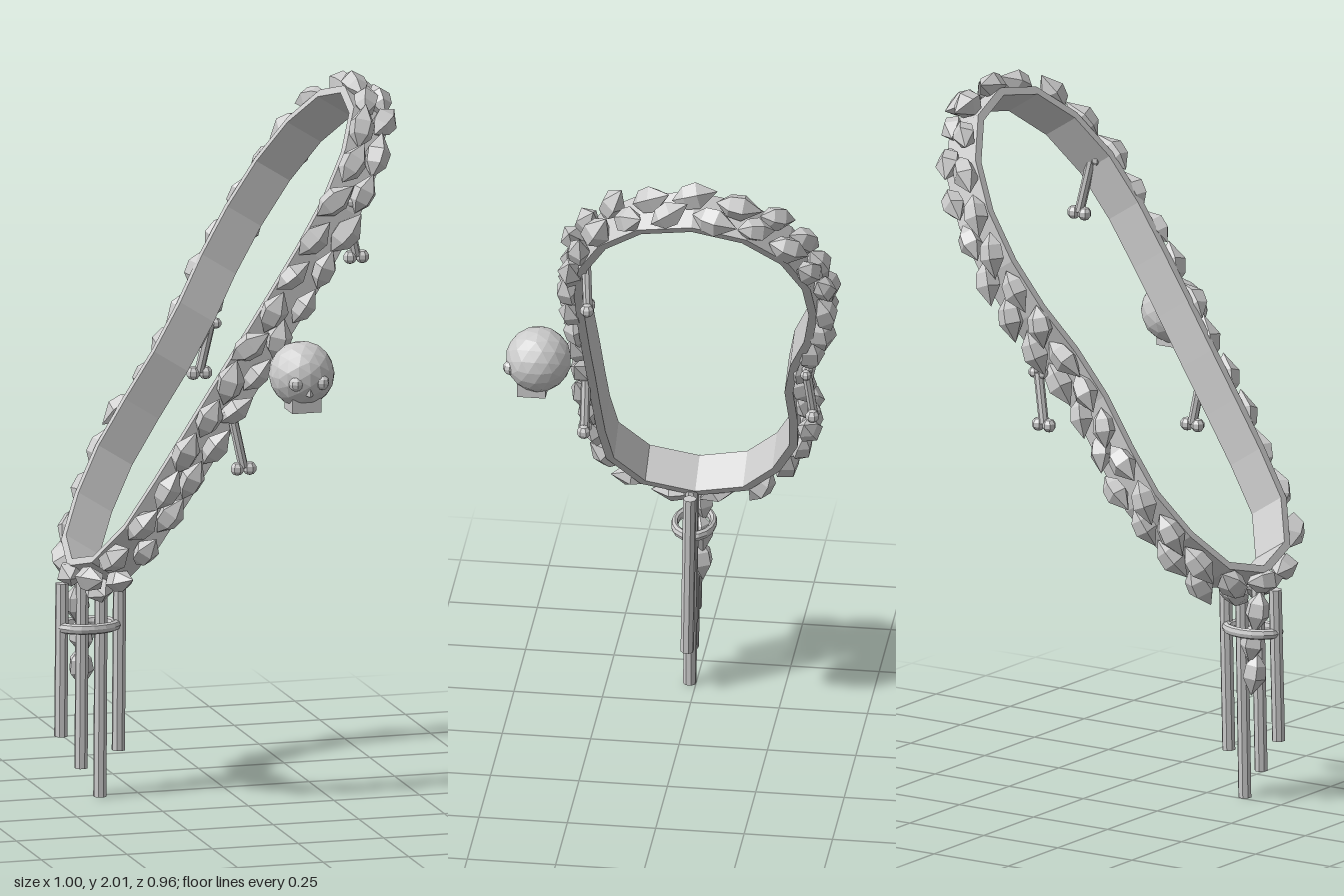
import * as THREE from 'three';

const V = (x, y, z) => new THREE.Vector3(x, y, z);
const grey = new THREE.MeshStandardMaterial({ color: 0xcccccc });
grey.name = 'light stone grey';
grey.flatShading = true;

function add(parent, geometry, name, pos) {
  const m = new THREE.Mesh(geometry, grey);
  m.name = name;
  if (pos) m.position.copy(pos);
  parent.add(m);
  return m;
}

// cylinder between two points
function rod(parent, a, b, r, name) {
  const d = b.clone().sub(a);
  const m = add(parent, new THREE.CylinderGeometry(r, r, d.length(), 8), name, a.clone().add(b).multiplyScalar(0.5));
  m.quaternion.setFromUnitVectors(V(0, 1, 0), d.normalize());
}

let seed = 7;
const rand = () => (seed = (seed * 16807) % 2147483647) / 2147483647;

// pointed, faceted leaf, one unit long
const leafGeometry = new THREE.LatheGeometry(
  [[0, -0.5], [0.26, -0.22], [0.3, 0.08], [0, 0.5]].map(([x, y]) => new THREE.Vector2(x, y)), 5);

function leaf(parent, pos, dir, out, size) {
  const y = dir.clone().normalize();
  const x = y.clone().cross(out).normalize();
  const m = add(parent, leafGeometry, 'leaf', pos);
  m.quaternion.setFromRotationMatrix(new THREE.Matrix4().makeBasis(x, y, x.clone().cross(y)));
  m.rotateY(rand() * 1.2);
  m.scale.set(size, size, size * 0.9);
}

// tilted hoop outline as (z, y); x follows from the slope
const outline = [[0, 0.645], [0.14, 0.68], [0.225, 0.78], [0.245, 1.0], [0.25, 1.2], [0.255, 1.4],
  [0.25, 1.6], [0.21, 1.75], [0.1, 1.88], [0, 1.92], [-0.12, 1.93], [-0.26, 1.88], [-0.37, 1.76],
  [-0.41, 1.6], [-0.385, 1.42], [-0.32, 1.25], [-0.305, 1.1], [-0.31, 0.95], [-0.25, 0.8], [-0.14, 0.68]];
const slopeX = (y) => -0.4 + (y - 0.645) * 0.641;
const path = new THREE.CatmullRomCurve3(outline.map(([z, y]) => V(slopeX(y), y, z)), true);
const N = V(1, -0.641, 0).normalize();

function frame(u) {
  const p = path.getPointAt(u % 1);
  const t = path.getTangentAt(u % 1);
  return { p, t, out: N.clone().cross(t).normalize() };
}

// flat band swept along the outline
function bandGeometry(segments) {
  const corners = [[1, 1], [-1, 1], [-1, -1], [1, -1]];
  const positions = [];
  const index = [];
  for (let i = 0; i < segments; i++) {
    const { p, out } = frame(i / segments);
    for (const [o, n] of corners) {
      positions.push(...p.clone().addScaledVector(out, o * 0.012).addScaledVector(N, n * 0.058).toArray());
    }
    const k = ((i + 1) % segments) * 4;
    for (let j = 0; j < 4; j++) {
      const a = i * 4 + j, b = i * 4 + (j + 1) % 4, c = k + (j + 1) % 4, d = k + j;
      index.push(a, b, c, a, c, d);
    }
  }
  const g = new THREE.BufferGeometry();
  g.setAttribute('position', new THREE.Float32BufferAttribute(positions, 3));
  g.setIndex(index);
  const flat = g.toNonIndexed();
  flat.computeVertexNormals();
  return flat;
}

export function createModel() {
  const model = new THREE.Group();
  model.name = 'wreath';
  add(model, bandGeometry(24), 'band');

  // two staggered rows of leaves around the outside
  const leaves = new THREE.Group();
  leaves.name = 'leaves';
  model.add(leaves);
  const count = 64;
  for (let i = 0; i < count; i++) {
    const { p, t, out } = frame(i / count);
    const row = i % 2 ? 1 : -1;
    const pos = p.clone().addScaledVector(out, 0.026 + rand() * 0.012).addScaledVector(N, row * (0.022 + rand() * 0.018));
    const dir = t.clone().addScaledVector(out, 0.12 + rand() * 0.25).addScaledVector(N, (rand() - 0.5) * 0.8);
    leaf(leaves, pos, dir, out, 0.118 + rand() * 0.022);
  }

  // hanging bones: shaft with two knobs at each end
  const bones = [
    [V(-0.055, 1.14, 0.27), V(-0.02, 0.98, 0.27)],
    [V(0.07, 1.25, -0.37), V(0.042, 1.11, -0.385)],
    [V(0.29, 1.71, 0.225), V(0.325, 1.555, 0.215)],
  ];
  for (const [a, b] of bones) {
    const bone = new THREE.Group();
    bone.name = 'bone';
    model.add(bone);
    rod(bone, a, b, 0.014, 'boneShaft');
    for (const s of [-1, 1]) {
      add(bone, new THREE.SphereGeometry(0.02, 7, 5), 'boneKnob', b.clone().add(V(s * 0.018, -0.003, 0)));
      add(bone, new THREE.SphereGeometry(0.016, 7, 5), 'boneKnob', a.clone().add(V(s * 0.016, 0, 0)));
    }
  }

  // skull
  const skull = new THREE.Group();
  skull.name = 'skull';
  skull.position.set(0.117, 1.265, 0.382);
  model.add(skull);
  add(skull, new THREE.IcosahedronGeometry(0.093, 2), 'cranium');
  add(skull, new THREE.BoxGeometry(0.085, 0.04, 0.08), 'jaw', V(0, -0.082, 0.015));
  for (const s of [-1, 1]) {
    add(skull, new THREE.SphereGeometry(0.021, 8, 6), 'eye', V(s * 0.038, -0.012, 0.075));
  }
  const nose = add(skull, new THREE.ConeGeometry(0.011, 0.024, 4), 'nose', V(0, -0.035, 0.084));
  nose.rotation.x = 0.3;

  // chimes below the hoop
  const chimes = new THREE.Group();
  chimes.name = 'chimes';
  model.add(chimes);
  for (const [x, y] of [[-0.48, 0.18], [-0.421, 0.085], [-0.366, 0], [-0.312, 0.13]]) {
    rod(chimes, V(x + 0.006, 0.62, 0.01), V(x, y + 0.002, 0.018), 0.019, 'chimeRod');
  }
  const hoop = add(chimes, new THREE.TorusGeometry(0.08, 0.015, 8, 16), 'chimeHoop', V(-0.398, 0.494, 0.01));
  hoop.rotation.x = Math.PI / 2;
  hoop.scale.set(1, 0.68, 1);

  // leafy tassel
  for (const [x, y] of [[-0.425, 0.55], [-0.41, 0.46], [-0.415, 0.37]]) {
    leaf(chimes, V(x, y, -0.008), V(0.1, -1, -0.1), V(0, 0, -1), 0.125);
  }
  return model;
}
